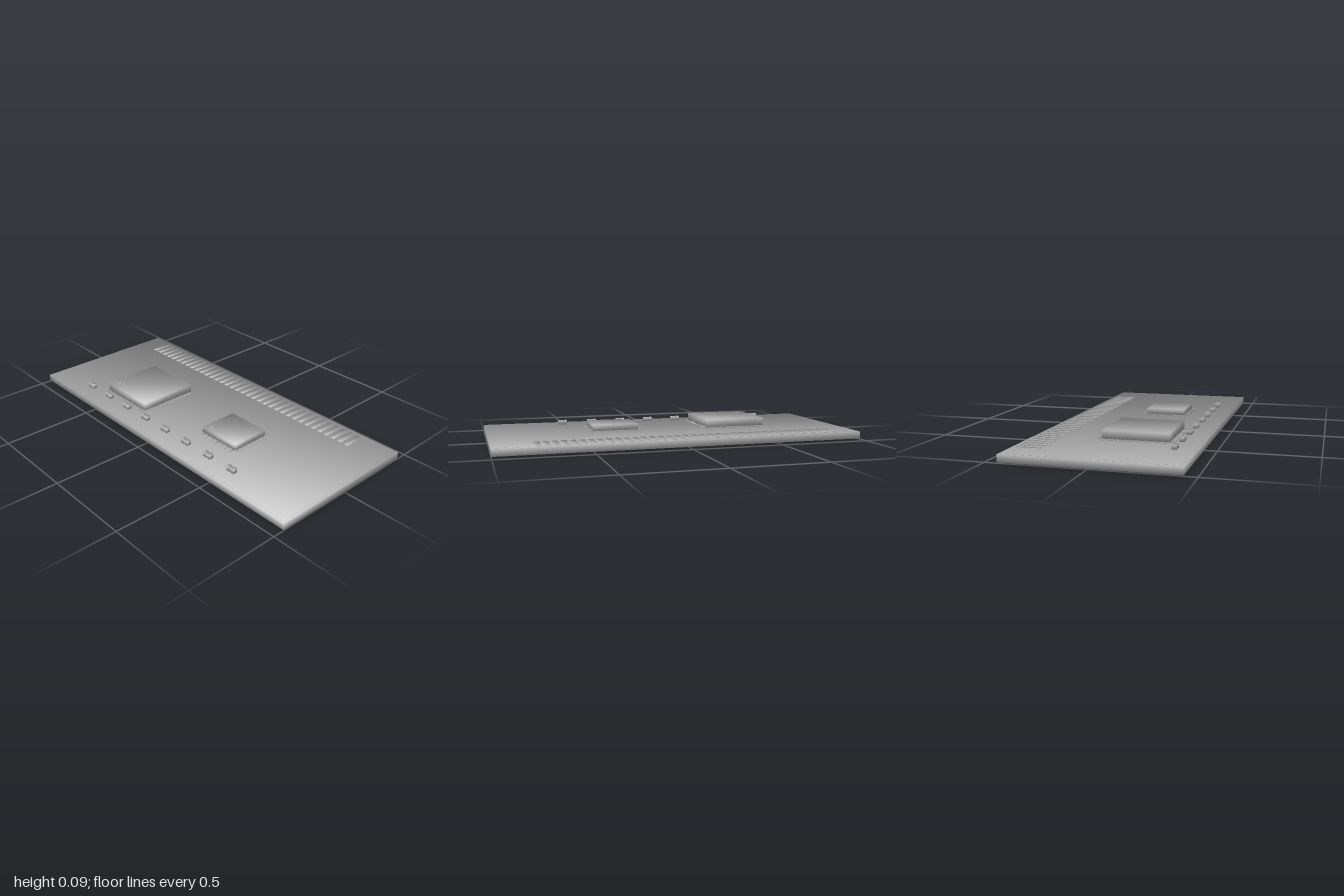
import * as THREE from 'three';

const grey = new THREE.MeshStandardMaterial({ color: 0xb0b0b0 });
grey.name = 'plain grey';

// Box between y0 and y1 whose corners share one outward normal, for soft shading
function softBox(name, w, y0, y1, d, x, z) {
  const geometry = new THREE.BoxGeometry(w, y1 - y0, d);
  const p = geometry.attributes.position;
  const n = new THREE.Vector3();
  for (let i = 0; i < p.count; i++) {
    n.set(Math.sign(p.getX(i)), Math.sign(p.getY(i)), Math.sign(p.getZ(i))).normalize();
    geometry.attributes.normal.setXYZ(i, n.x, n.y, n.z);
  }
  const mesh = new THREE.Mesh(geometry, grey);
  mesh.name = name;
  mesh.position.set(x, (y0 + y1) / 2, z);
  return mesh;
}

// Square chip package with pins on four sides and a corner marker
function createChip(name, { x, z, w, d, top, pinsX, pinsZ }) {
  const chip = new THREE.Group();
  chip.name = name;
  chip.add(softBox('chipBody', w, 0.047, top, d, x, z));

  const reach = 0.024, pinWidth = 0.009, overlap = 0.004;
  const offset = (reach - overlap) / 2;
  for (const side of [-1, 1]) {
    for (let i = 0; i < pinsX; i++) {
      const px = x + (i / (pinsX - 1) - 0.5) * w * 0.88;
      chip.add(softBox('pin', pinWidth, 0.044, 0.049, reach + overlap, px, z + side * (d / 2 + offset)));
    }
    for (let i = 0; i < pinsZ; i++) {
      const pz = z + (i / (pinsZ - 1) - 0.5) * d * 0.88;
      chip.add(softBox('pin', reach + overlap, 0.044, 0.049, pinWidth, x + side * (w / 2 + offset), pz));
    }
  }

  const marker = new THREE.Mesh(new THREE.CylinderGeometry(0.01, 0.01, 0.002, 16), grey);
  marker.name = 'cornerMarker';
  marker.position.set(x - w / 2 + 0.042, top, z + d / 2 - 0.05 * (d / 0.35));
  chip.add(marker);
  return chip;
}

export function createModel() {
  const model = new THREE.Group();
  model.name = 'circuitBoard';

  // Board with a very thin inset coating on top
  model.add(softBox('board', 2, 0.003, 0.042, 0.874, 0, 0));
  model.add(softBox('topCoating', 1.975, 0.0415, 0.043, 0.85, 0, 0));

  // Contact fingers along the rear edge, on both faces
  const fingers = new THREE.Group();
  fingers.name = 'contactFingers';
  const fingerCount = 36;
  for (let i = 0; i < fingerCount; i++) {
    const x = -0.85 + i * 0.0463;
    fingers.add(softBox('topFinger', 0.03, 0.041, 0.045, 0.124, x, -0.35));
    fingers.add(softBox('bottomFinger', 0.03, 0, 0.004, 0.124, x, -0.35));
  }
  model.add(fingers);

  // Two chips
  model.add(createChip('largeChip', { x: -0.4, z: 0.101, w: 0.35, d: 0.35, top: 0.091, pinsX: 16, pinsZ: 16 }));
  model.add(createChip('smallChip', { x: 0.3, z: 0.076, w: 0.252, d: 0.222, top: 0.08, pinsX: 7, pinsZ: 7 }));

  // Row of small components with end terminals
  for (let i = 0; i < 8; i++) {
    const x = -0.678 + i * 0.175;
    const part = new THREE.Group();
    part.name = 'surfaceComponent';
    part.add(softBox('componentBody', 0.03, 0.043, 0.066, 0.023, x, 0.327));
    for (const side of [-1, 1]) {
      part.add(softBox('terminal', 0.012, 0.043, 0.068, 0.026, x + side * 0.019, 0.327));
    }
    model.add(part);
  }

  return model;
}
